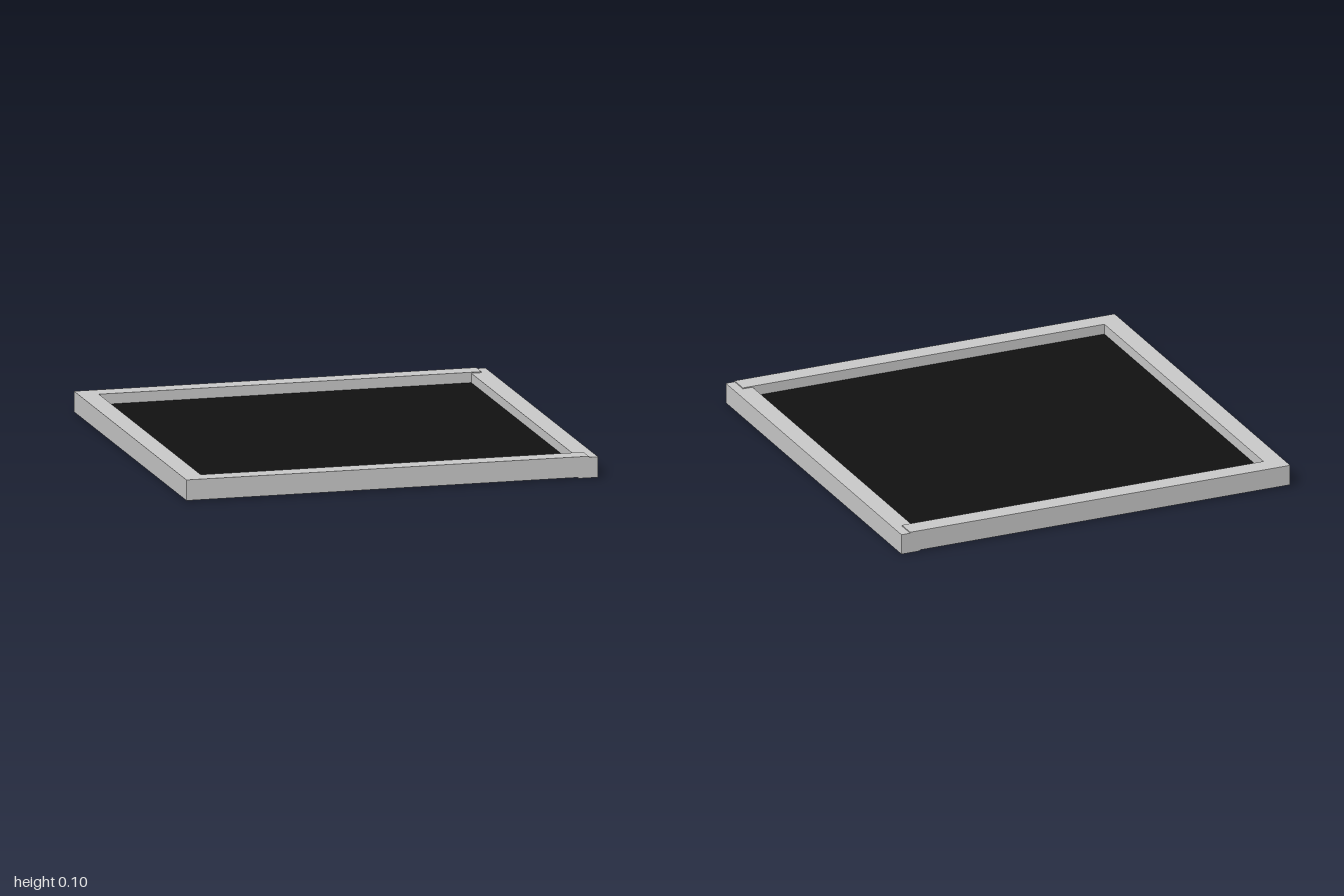
import * as THREE from 'three';

const OUTER = 1, INNER = 0.905, HEIGHT = 0.099, TENON = 0.955;

export function createModel() {
  const group = new THREE.Group();
  const grey = new THREE.MeshStandardMaterial({ color: 0xcccccc });
  const black = new THREE.MeshStandardMaterial({ color: 0x111111 });

  const add = (name, geometry, material, x, y, z) => {
    const mesh = new THREE.Mesh(geometry, material);
    mesh.name = name;
    mesh.position.set(x, y, z);
    group.add(mesh);
  };

  // Three-sided frame: front, left-hand and back rails in one flush piece
  const outline = new THREE.Shape([
    [TENON, -OUTER], [TENON, -INNER], [-INNER, -INNER], [-INNER, INNER],
    [TENON, INNER], [TENON, OUTER], [-OUTER, OUTER], [-OUTER, -OUTER],
  ].map(([x, y]) => new THREE.Vector2(x, y)));
  const frame = new THREE.ExtrudeGeometry(outline, { depth: HEIGHT, bevelEnabled: false });
  frame.rotateX(-Math.PI / 2);
  add('threeSidedFrame', frame, grey, 0, 0.005, 0);

  // Closing rail, set slightly lower than the rest
  const width = OUTER - INNER;
  add('closingRail', new THREE.BoxGeometry(width, HEIGHT, 2 * OUTER), grey,
    OUTER - width / 2, HEIGHT / 2, 0);

  // Thin dark panel held halfway up the frame
  add('panel', new THREE.BoxGeometry(2 * INNER, 0.008, 2 * INNER), black, 0, 0.05, 0);

  return group;
}
